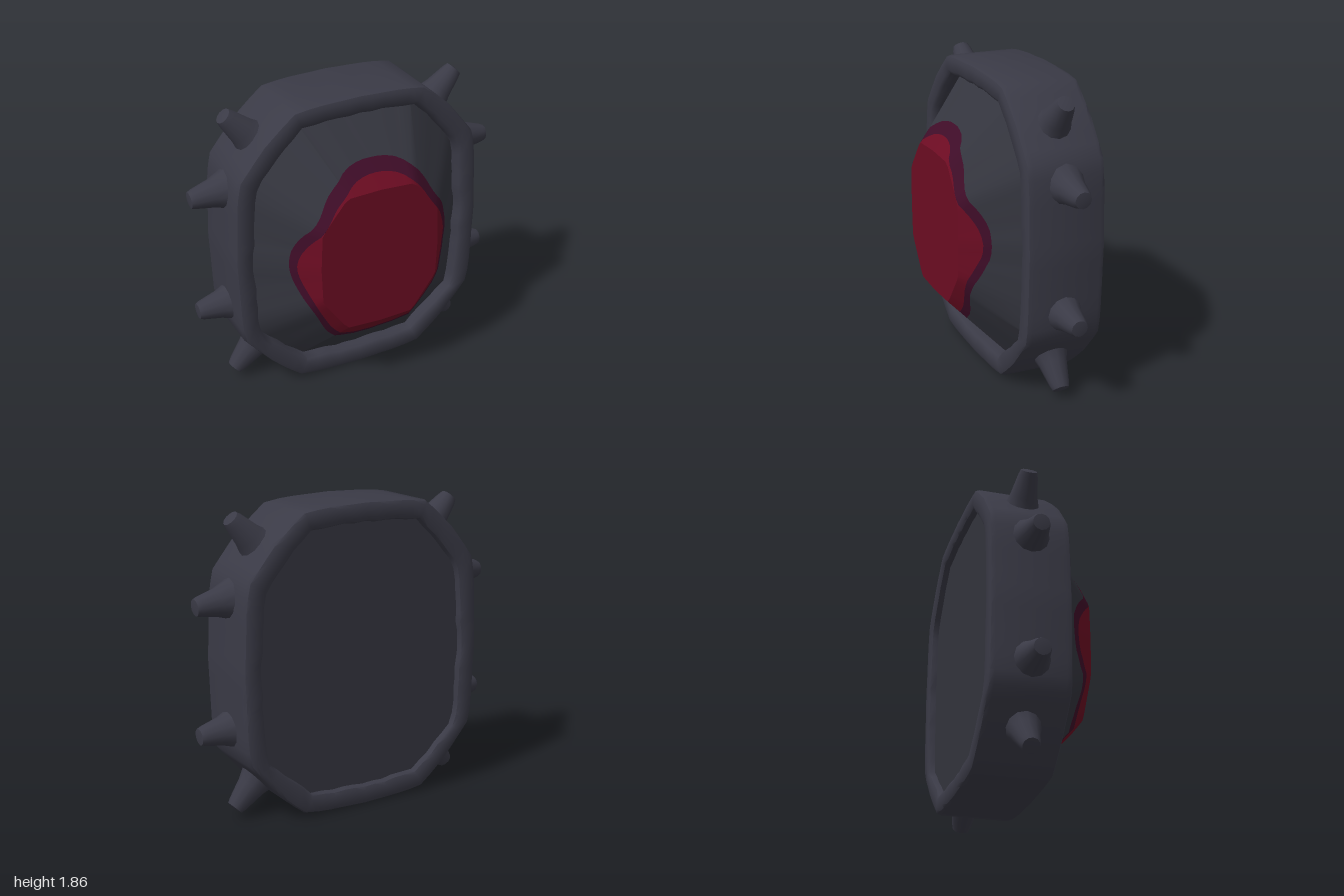
import * as THREE from 'three';
import { toCreasedNormals } from 'three/addons/utils/BufferGeometryUtils.js';

const N = 72, CY = 0.93;
const material = (name, color) => {
  const m = new THREE.MeshStandardMaterial({ color });
  m.name = name;
  return m;
};

// Right half of an outline, listed top to bottom, mirrored into a closed loop
function mirrored(half) {
  const pts = half.map(([x, y]) => [x, y]);
  for (const [x, y] of [...half].reverse()) if (x > 0) pts.push([-x, y]);
  return pts;
}

function rounded(half) {
  const curve = new THREE.CatmullRomCurve3(
    mirrored(half).map(([x, y]) => new THREE.Vector3(x, y, 0)), true);
  return curve.getPoints(90).slice(0, -1).map((p) => [p.x, p.y]);
}

// Distance from the middle to an outline, for each of N directions
function radii(poly) {
  return Array.from({ length: N }, (_, j) => {
    const a = (j / N) * Math.PI * 2, c = Math.cos(a), s = Math.sin(a);
    let best = 0;
    poly.forEach(([x1, y1], i) => {
      const [x2, y2] = poly[(i + 1) % poly.length];
      const ex = x2 - x1, ey = y2 - y1, d = c * ey - s * ex;
      if (Math.abs(d) < 1e-9) return;
      const u = (x1 * s - (y1 - CY) * c) / d;
      const r = (x1 * ey - (y1 - CY) * ex) / d;
      if (u >= -1e-6 && u <= 1 + 1e-6) best = Math.max(best, r);
    });
    return best;
  });
}

// Skin over closed loops; each row gives [radius, z] for direction j
function skin(rows, crease) {
  const pos = [], idx = [];
  for (const row of rows) {
    for (let j = 0; j < N; j++) {
      const a = (j / N) * Math.PI * 2, [r, z] = row(j);
      pos.push(r * Math.cos(a), CY + r * Math.sin(a), z);
    }
  }
  for (let i = 0; i < rows.length - 1; i++) {
    for (let j = 0; j < N; j++) {
      const k = (j + 1) % N;
      const a = i * N + j, b = a + N, c = (i + 1) * N + k, d = i * N + k;
      idx.push(a, b, c, a, c, d);
    }
  }
  const g = new THREE.BufferGeometry();
  g.setAttribute('position', new THREE.Float32BufferAttribute(pos, 3));
  g.setIndex(idx);
  return toCreasedNormals(g, crease);
}

export function createModel() {
  const group = new THREE.Group();
  const iron = material('dark iron', 0x3a3a46);
  const plate = material('dark plate', 0x34353e);
  const red = material('deep red', 0x6c0c22);
  const plum = material('dark plum', 0x3f0d28);
  const add = (name, geo, mat) => {
    const m = new THREE.Mesh(geo, mat);
    m.name = name;
    group.add(m);
    return m;
  };

  const outer = radii(mirrored([[0, 1.86], [0.3, 1.85], [0.43, 1.83], [0.62, 1.66],
    [0.78, 1.46], [0.8, 1.3], [0.815, 0.93], [0.8, 0.5], [0.78, 0.39],
    [0.6, 0.18], [0.43, 0.03], [0.3, 0.01], [0, 0]]));
  const inner = radii(mirrored([[0, 1.74], [0.38, 1.72], [0.66, 1.41], [0.7, 0.93],
    [0.67, 0.4], [0.37, 0.14], [0, 0.12]]))
    .map((r, j) => r + 0.007 * Math.sin(j * 1.9) * Math.sin(j * 0.7));
  const top = radii(mirrored([[0, 1.37], [0.22, 1.36], [0.38, 1.16], [0.39, 0.93],
    [0.38, 0.7], [0.22, 0.48], [0, 0.47]]));
  const plumEdge = radii(rounded([[0, 1.52], [0.17, 1.49], [0.3, 1.38], [0.38, 1.24],
    [0.49, 1.09], [0.53, 0.92], [0.48, 0.74], [0.39, 0.57], [0.29, 0.4],
    [0.17, 0.33], [0, 0.31]]));
  const redEdge = radii(rounded([[0, 1.45], [0.15, 1.42], [0.26, 1.33], [0.34, 1.21],
    [0.45, 1.06], [0.495, 0.92], [0.44, 0.74], [0.35, 0.56], [0.27, 0.44],
    [0.15, 0.36], [0, 0.345]]));

  // Heavy rim: [blend from outer to inner outline, z], front lip round to back lip
  const section = [[1, 0], [1, 0.07], [0.93, 0.1], [0.75, 0.115], [0.25, 0.115],
    [0.07, 0.105], [0, 0.075], [0, -0.335], [0.07, -0.36], [0.25, -0.37],
    [0.75, -0.37], [0.93, -0.36], [1, -0.335], [1, -0.3]];
  add('rim', skin(section.map(([t, z]) => (j) =>
    [outer[j] + (inner[j] - outer[j]) * t, z]), 0.8), iron);

  // Back panel, slightly sunk into the rim
  add('backPanel', skin([(j) => [inner[j] + 0.01, -0.325], () => [0, -0.325]], 0.5), plate);

  // Raised front: flat top with sloping sides, split into colour bands
  const at = (j, r) => {
    const t = Math.max(0, (r - top[j]) / (inner[j] - top[j]));
    return [r, 0.365 - 0.335 * t];
  };
  const band = (lo, hi) => skin([
    (j) => at(j, lo(j)),
    (j) => at(j, THREE.MathUtils.clamp(top[j], lo(j), hi(j))),
    (j) => at(j, hi(j)),
  ], 0.4);
  add('redCentre', band(() => 0, (j) => redEdge[j]), red);
  add('redCentreBorder', band((j) => redEdge[j], (j) => plumEdge[j]), plum);
  add('frontSlope', band((j) => plumEdge[j], (j) => inner[j]), plate);

  // Flared blunt spikes, mirrored on both sides
  const spikeShape = (len) => toCreasedNormals(new THREE.LatheGeometry(
    [[0.15, -0.05], [0.115, 0], [0.085, 0.35 * len], [0.06, 0.85 * len],
      [0.05, 0.97 * len], [0, len]].map(([r, y]) => new THREE.Vector2(r, y)), 12), 0.9);
  const spikes = [
    ['upperCornerSpike', 0.59, 1.62, 0.765, 1.8],
    ['upperSideSpike', 0.78, 1.33, 1.0, 1.31],
    ['lowerSideSpike', 0.78, 0.56, 0.995, 0.545],
    ['lowerCornerSpike', 0.6, 0.24, 0.775, 0.055],
  ];
  const up = new THREE.Vector3(0, 1, 0);
  for (const [name, x1, y1, x2, y2] of spikes) {
    for (const side of [1, -1]) {
      const dir = new THREE.Vector3(side * (x2 - x1), y2 - y1, 0);
      const spike = add((side > 0 ? 'left_' : 'right_') + name, spikeShape(dir.length()), iron);
      spike.position.set(side * x1, y1, -0.125);
      spike.quaternion.setFromUnitVectors(up, dir.normalize());
    }
  }
  return group;
}
